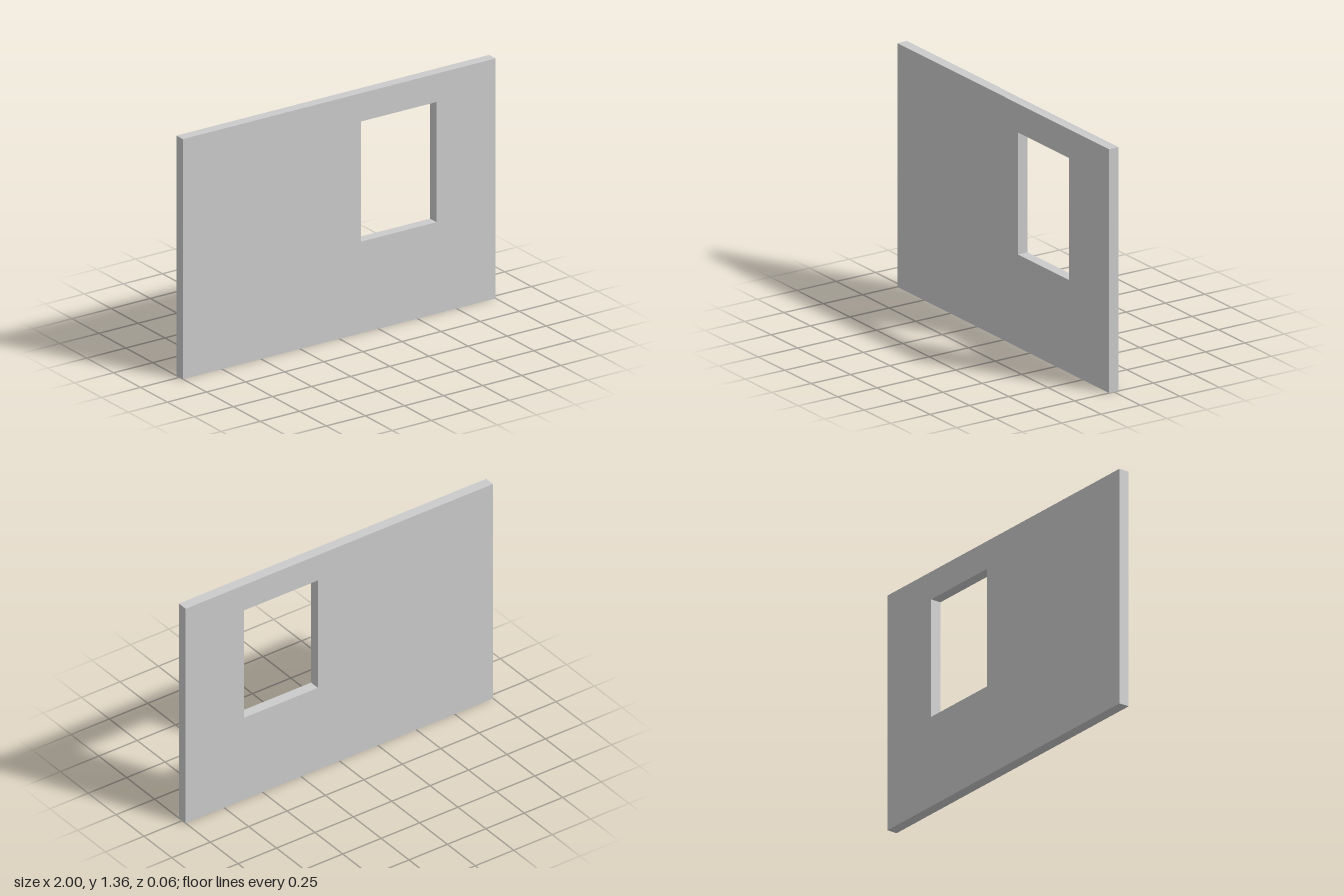
import * as THREE from 'three';

const WIDTH = 2, HEIGHT = 1.364, DEPTH = 0.061;
const WINDOW = { left: 0.14, right: 0.622, bottom: 0.52, top: 1.203 };

// Traces a closed rectangle onto a Shape or Path
function rectangle(path, x0, y0, x1, y1) {
  path.moveTo(x0, y0);
  path.lineTo(x1, y0);
  path.lineTo(x1, y1);
  path.lineTo(x0, y1);
  path.closePath();
  return path;
}

export function createModel() {
  const group = new THREE.Group();
  group.name = 'wallWithWindow';

  // Wall slab with a window opening cut through it
  const outline = rectangle(new THREE.Shape(), -WIDTH / 2, 0, WIDTH / 2, HEIGHT);
  outline.holes.push(rectangle(new THREE.Path(), WINDOW.left, WINDOW.bottom, WINDOW.right, WINDOW.top));

  const geometry = new THREE.ExtrudeGeometry(outline, { depth: DEPTH, bevelEnabled: false });
  geometry.translate(0, 0, -DEPTH / 2);

  const wall = new THREE.Mesh(geometry, new THREE.MeshStandardMaterial({ color: 0xcccccc }));
  wall.name = 'wall';
  group.add(wall);
  return group;
}
